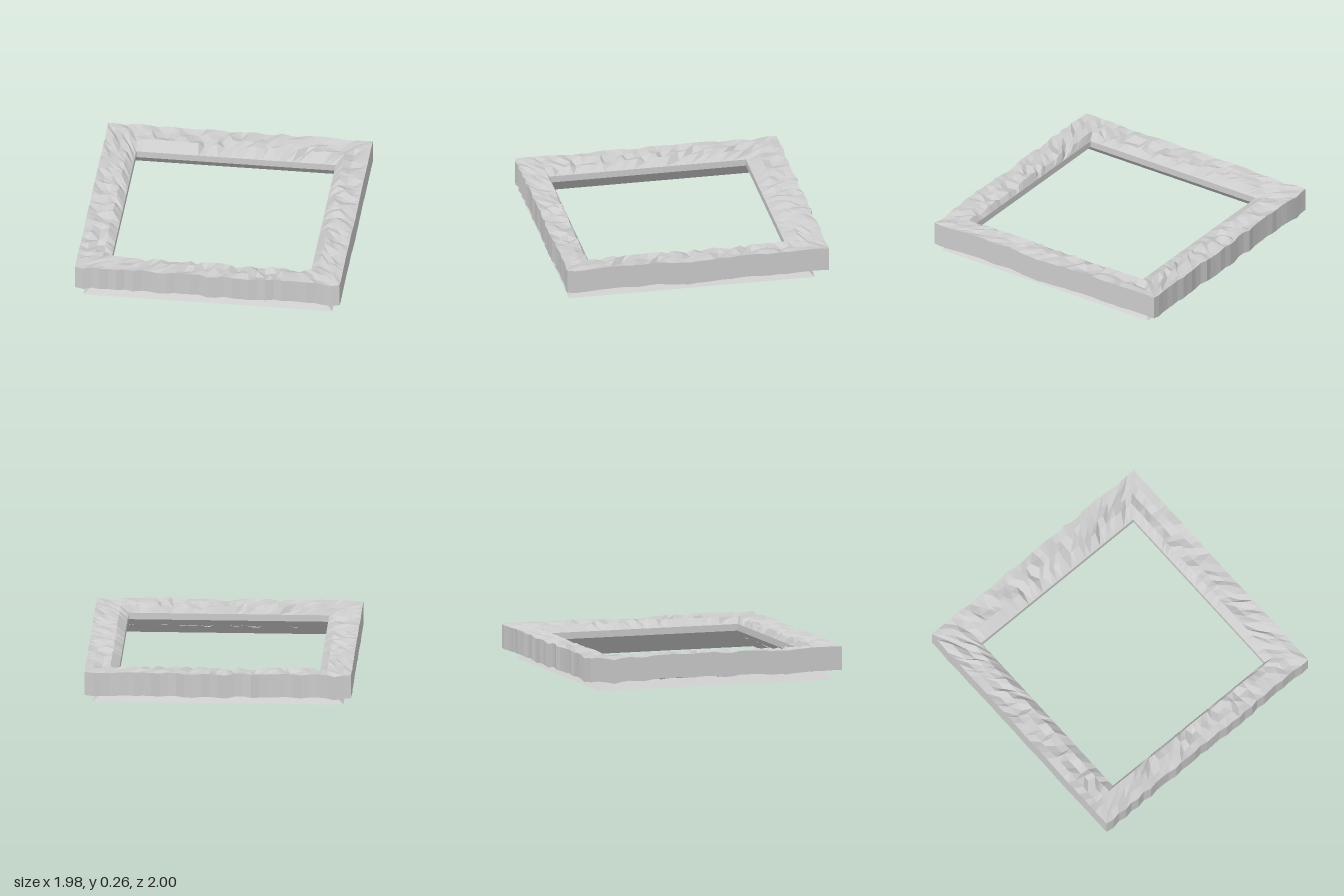
import * as THREE from 'three';

const SEG = 32;                                   // cells along each side
const CORNERS = [[1, 1], [1, -1], [-1, -1], [-1, 1]];

// Repeatable pseudo-random value in 0..1
function hash(a, b) {
  const s = Math.sin(a * 127.1 + b * 311.7 + 17.3) * 43758.5453;
  return s - Math.floor(s);
}

// Points of a unit square, counter-clockwise seen from above
function squarePoints(seg) {
  const pts = [];
  CORNERS.forEach(([x0, z0], c) => {
    const [x1, z1] = CORNERS[(c + 1) % 4];
    for (let i = 0; i < seg; i++) {
      const t = i / seg;
      pts.push({ u: x0 + (x1 - x0) * t, v: z0 + (z1 - z0) * t, corner: i === 0, onZ: c % 2 === 1 });
    }
  });
  return pts;
}

// Joins successive closed loops of points with quads
function skinLoops(loops) {
  const n = loops[0].length;
  const index = [];
  for (let k = 0; k < loops.length - 1; k++) {
    for (let i = 0; i < n; i++) {
      const j = (i + 1) % n;
      const a = k * n + i, b = k * n + j, c = a + n, d = b + n;
      index.push(a, b, d, a, d, c);
    }
  }
  const geo = new THREE.BufferGeometry();
  geo.setAttribute('position', new THREE.Float32BufferAttribute(loops.flat(2), 3));
  geo.setIndex(index);
  const flat = geo.toNonIndexed();
  flat.computeVertexNormals();
  return flat;
}

function material() {
  return new THREE.MeshStandardMaterial({ color: 0xcccccc, flatShading: true, side: THREE.DoubleSide });
}

// Rough stone ring: underside, outer wall, craggy top, slope to the opening
function createStone() {
  // half size, height, roughness, sideways jitter, z offset, noise row
  const rings = [
    { r: 0.84, y: 0.095, rough: 0.02, slide: 0.01, cz: 0.01, row: 1 },
    { r: 0.92, y: 0.09, rough: 0.03, slide: 0.01, cz: 0, row: 2 },
    { r: 0.99, y: 0.082, rough: 0.028, slide: 0, cz: 0, row: 3 },
    { r: 0.99, y: 0.26, rough: 0.028, slide: 0, cz: 0, row: 3 },
    { r: 0.928, y: 0.26, rough: 0.035, slide: 0.02, cz: 0, row: 4 },
    { r: 0.866, y: 0.26, rough: 0.045, slide: 0.02, cz: 0, row: 5 },
    { r: 0.805, y: 0.255, rough: 0.045, slide: 0.012, cz: 0, row: 6 },
    { r: 0.745, y: 0.2, rough: 0, slide: 0, cz: 0.035, row: 7 },
  ];
  const pts = squarePoints(SEG);
  const loops = rings.map(({ r, y, rough, slide, cz, row }) => pts.map((p, i) => {
    // Blend neighbouring values so the outer edge undulates
    const h = (hash(i, row) + (row === 3 ? hash((i + 1) % pts.length, row) : hash(i, row))) / 2;
    const shift = p.corner ? 0 : (hash(i, row + 20) - 0.5) * 2 * slide;
    let x = p.u * r, z = p.v * r + cz;
    if (p.onZ) x += shift; else z += shift;
    // Front and back walls ripple slightly
    if (row === 3 && p.onZ && !p.corner) z += p.v * (hash(i, 40) * 0.02 - 0.01);
    return [x, y - (p.corner ? 0.2 : h * h) * rough, z];
  }));
  const mesh = new THREE.Mesh(skinLoops(loops), material());
  mesh.name = 'stoneRing';
  return mesh;
}

// Straight inner rim with a skirt flaring outwards to the ground
function createSkirt() {
  const rings = [[0.745, 0.2], [0.745, 0.15], [0.93, 0]];
  const loops = rings.map(([r, y]) => squarePoints(1).map(p => [p.u * r, y, p.v * r + 0.035]));
  const mesh = new THREE.Mesh(skinLoops(loops), material());
  mesh.name = 'innerRimAndSkirt';
  return mesh;
}

export function createModel() {
  const group = new THREE.Group();
  group.name = 'stoneFrame';
  group.add(createStone(), createSkirt());
  return group;
}
